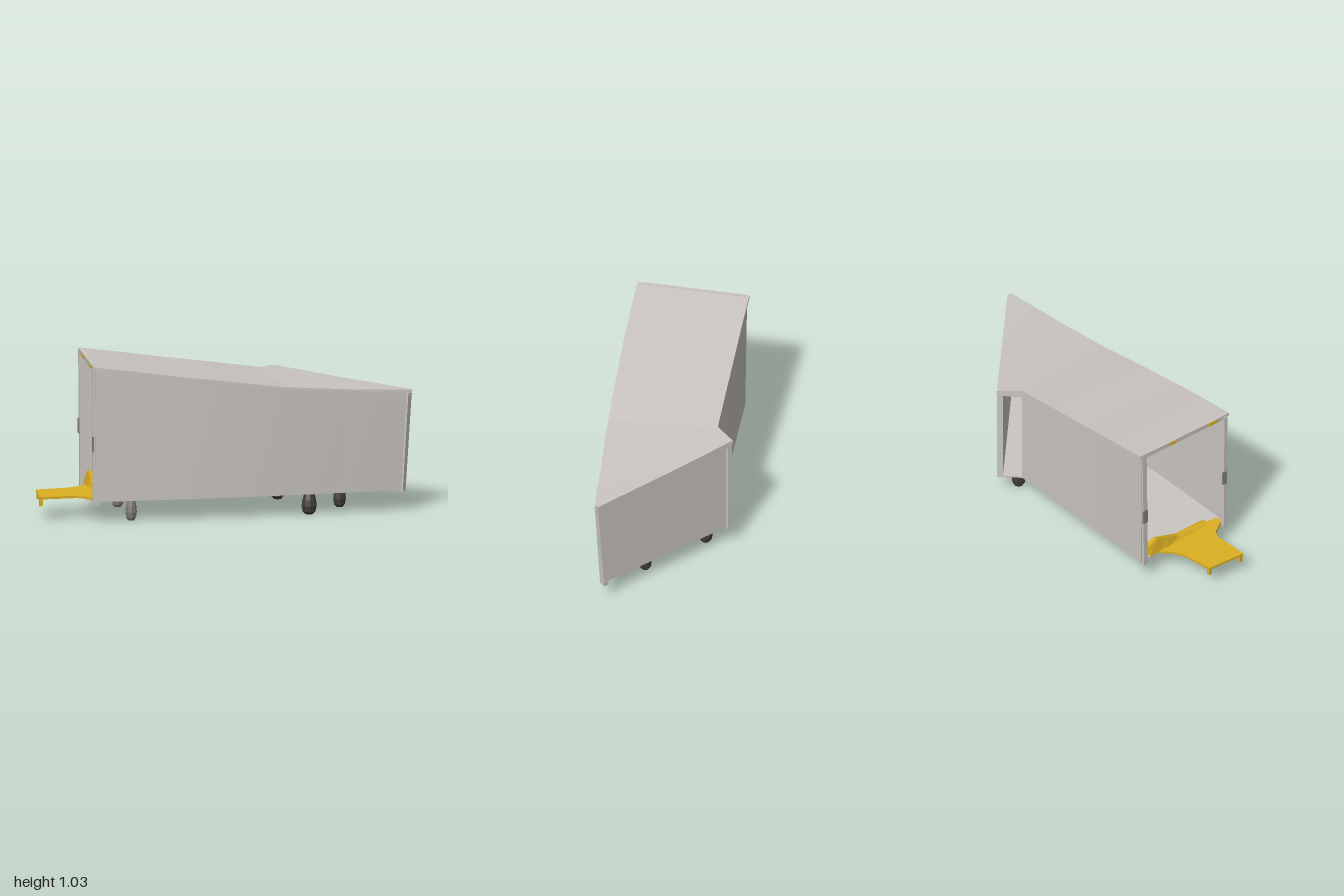
import * as THREE from 'three';

const mat = (name, color) => {
  const m = new THREE.MeshStandardMaterial({ color, side: THREE.DoubleSide });
  m.name = name;
  return m;
};

// Skin a row of closed rings (equal point counts) with flat faces and end caps
function loft(rings) {
  const pos = [];
  const tri = (a, b, c) => pos.push(...a, ...b, ...c);
  const n = rings[0].length;
  for (let i = 0; i < rings.length - 1; i++) {
    for (let j = 0; j < n; j++) {
      const k = (j + 1) % n, p = rings[i], q = rings[i + 1];
      tri(p[j], q[k], q[j]);
      tri(p[j], p[k], q[k]);
    }
  }
  const first = rings[0], last = rings[rings.length - 1];
  for (let j = 1; j < n - 1; j++) {
    tri(first[0], first[j + 1], first[j]);
    tri(last[0], last[j], last[j + 1]);
  }
  const g = new THREE.BufferGeometry();
  g.setAttribute('position', new THREE.Float32BufferAttribute(pos, 3));
  g.computeVertexNormals();
  return g;
}

// Horizontal slab from an x/z outline
function slab(points, y, thickness) {
  const shape = new THREE.Shape(points.map(([x, z]) => new THREE.Vector2(x, -z)));
  const g = new THREE.ExtrudeGeometry(shape, { depth: thickness, bevelEnabled: false });
  return g.rotateX(-Math.PI / 2).translate(0, y, 0);
}

// Roof height falls along the diagonal length of the body
const PROFILE = [[-1.2, 1.035], [-0.9, 1.01], [-0.6, 0.975], [0, 0.92], [0.6, 0.86], [1.2, 0.83], [1.8, 0.81]];
function roofY(x, z) {
  const s = THREE.MathUtils.clamp(x - z, -1.2, 1.8);
  const i = Math.max(1, PROFILE.findIndex(([end]) => s <= end));
  const [s0, h0] = PROFILE[i - 1], [s1, h1] = PROFILE[i];
  return h0 + (h1 - h0) * (s - s0) / (s1 - s0);
}

export function createModel() {
  const model = new THREE.Group();
  const grey = mat('panel grey', 0xcac5c0);
  const shade = mat('latch grey', 0x85817c);
  const yellow = mat('yellow', 0xdcb022);
  const dark = mat('dark wheel', 0x433e3b);
  const wheelGrey = mat('grey wheel', 0x817d75);
  const add = (name, geometry, material) => {
    const m = new THREE.Mesh(geometry, material);
    m.name = name;
    model.add(m);
    return m;
  };

  // Corners: outer top and slightly tucked-in bottom
  const base = 0.14;
  const top = { A: [-0.96, 0.17], B: [-0.475, 0.7], C: [0.98, -0.8], D: [-0.1, -0.8], E: [-0.1, -0.66] };
  const low = { A: [-0.945, 0.17], B: [-0.475, 0.69], C: [0.935, -0.8], D: [-0.1, -0.8], E: [-0.1, -0.66] };
  const mix = (a, b, t, bow) => [0, 1].map((i) => a[i] + (b[i] - a[i]) * t + bow * Math.sin(Math.PI * t));

  // Walls follow the roof slope; the A-B end and the D-E doorway stay open
  const wall = (name, p, q, inX, inZ, steps, bow) => {
    const rings = [];
    for (let i = 0; i <= steps; i++) {
      const [tx, tz] = mix(top[p], top[q], i / steps, bow);
      const [bx, bz] = mix(low[p], low[q], i / steps, bow);
      const y = roofY(tx, tz) - 0.01;
      rings.push([[bx, base, bz], [tx, y, tz], [tx + inX, y, tz + inZ], [bx + inX, base, bz + inZ]]);
    }
    add(name, loft(rings), grey);
  };
  wall('longSideWall', 'B', 'C', -0.012, -0.012, 10, 0.025);
  wall('backWall', 'C', 'D', 0, 0.015, 4, 0);
  wall('innerSideWall', 'E', 'A', 0.012, 0.012, 8, 0);

  // Roof sheet, laid from the inner side to the long side
  const spans = [
    [[-0.975, 0.165], [-0.475, 0.713]],
    [[-0.8, 0.0], [-0.28, 0.53]],
    [[-0.57, -0.22], [-0.09, 0.345]],
    [[-0.34, -0.44], [0.12, 0.13]],
    [[-0.11, -0.66], [0.42, -0.185]],
    [[-0.11, -0.825], [0.7, -0.485]],
    [[0.4, -0.825], [0.85, -0.645]],
    [[0.95, -0.825], [0.995, -0.805]],
  ];
  add('roof', loft(spans.map(([l, r]) => {
    const yl = roofY(...l), yr = roofY(...r);
    return [[l[0], yl, l[1]], [r[0], yr, r[1]], [r[0], yr - 0.022, r[1]], [l[0], yl - 0.022, l[1]]];
  })), grey);
  const floorEdge = [0.8, 0.6, 0.4, 0.2].map((t) => mix(low.C, low.B, 1 - t, 0.02)).reverse();
  add('floor', slab([low.A, low.B, ...floorEdge.reverse(), low.C, low.D, low.E].filter(Boolean), base, 0.012), grey);

  // Upright post: w and d are its plan size, turn its heading
  const post = (name, a, b, w, d, turn) => {
    const c = Math.cos(turn), s = Math.sin(turn);
    add(name, loft([a, b].map(([x, y, z]) => [[-1, -1], [1, -1], [1, 1], [-1, 1]].map(([i, j]) => {
      const u = i * w / 2, v = j * d / 2;
      return [x + u * c + v * s, y, z - u * s + v * c];
    }))), grey);
  };
  // Cross beam: w is measured level and square to its run, h upright
  const beam = (name, a, b, w, h) => {
    const run = Math.hypot(b[0] - a[0], b[2] - a[2]);
    const nx = -(b[2] - a[2]) / run, nz = (b[0] - a[0]) / run;
    add(name, loft([a, b].map(([x, y, z]) => [[-1, -1], [1, -1], [1, 1], [-1, 1]]
      .map(([i, j]) => [x + nx * i * w / 2, y + j * h / 2, z + nz * i * w / 2]))), grey);
  };

  // Frame around the open end
  const q = Math.PI / 4;
  post('openEndPost', [-0.928, 0.12, 0.19], [-0.942, 1.02, 0.182], 0.035, 0.035, -q);
  post('openEndPost', [-0.485, 0.115, 0.675], [-0.488, 1.02, 0.68], 0.025, 0.045, -q);
  beam('openEndHeader', [-0.953, 1.017, 0.18], [-0.485, 1.017, 0.69], 0.02, 0.032);
  for (const [x, z] of [[-0.95, 0.198], [-0.502, 0.688]]) {
    const latch = add('latchPlate', new THREE.BoxGeometry(0.036, 0.1, 0.009), shade);
    latch.position.set(x, 0.52, z);
    latch.rotation.y = -q;
  }
  for (const [t, len] of [[0.35, 0.06], [0.84, 0.08]]) {
    const tab = add('headerTab', new THREE.BoxGeometry(len, 0.02, 0.008), yellow);
    tab.position.set(-0.953 + 0.468 * t - 0.008, 1.018, 0.18 + 0.51 * t + 0.008);
    tab.rotation.y = -q;
  }

  // Shallow ribs under the roof, running from side to side
  for (let i = 1; i <= 7; i++) {
    const [lx, lz] = mix([-0.945, 0.17], [-0.12, -0.63], i / 8, 0);
    const [rx, rz] = mix([-0.49, 0.68], [0.4, -0.21], i / 8, 0);
    beam('roofRib', [lx, roofY(lx, lz) - 0.03, lz], [rx, roofY(rx, rz) - 0.03, rz], 0.025, 0.02);
  }

  // Frame around the back panel and the doorway beside it
  post('backPost', [0.912, 0.13, -0.812], [0.962, 0.8, -0.812], 0.035, 0.024, 0);
  post('backPost', [-0.088, 0.14, -0.812], [-0.088, 0.84, -0.812], 0.03, 0.024, 0);
  beam('backHeader', [-0.1, 0.825, -0.812], [0.98, 0.793, -0.812], 0.024, 0.03);
  beam('doorwayHeader', [-0.103, 0.832, -0.82], [-0.103, 0.825, -0.65], 0.012, 0.03);

  // Loading step with curved-in sides and two short feet
  add('loadingStep', slab([
    [-0.84, 0.24], [-0.842, 0.3], [-0.845, 0.38], [-0.87, 0.45], [-1.0, 0.62], [-0.83, 0.83],
    [-0.72, 0.715], [-0.66, 0.65], [-0.61, 0.637], [-0.5, 0.665], [-0.46, 0.63], [-0.8, 0.2],
  ], 0.14, 0.016), yellow);
  for (const [x, z] of [[-0.98, 0.62], [-0.83, 0.81]]) {
    const foot = add('stepFoot', new THREE.BoxGeometry(0.022, 0.05, 0.022), yellow);
    foot.position.set(x, 0.12, z);
    foot.rotation.y = q;
  }

  // Low heap just inside the opening, tapering along the sill
  add('yellowHeap', loft([[-0.88, 0.215, 0.07], [-0.83, 0.265, 0.1], [-0.77, 0.33, 0.07], [-0.7, 0.4, 0.03], [-0.53, 0.585, 0.015]]
    .map(([x, z, h]) => [[x - 0.015, 0.15, z + 0.015], [x, 0.15 + h, z], [x + 0.025, 0.15 + h * 0.9, z - 0.025], [x + 0.045, 0.15, z - 0.045]])), yellow);

  // Stubby casters: rounded blocks, narrow in both directions
  const casters = [
    [-0.69, 0.13, 1, wheelGrey], [-0.35, 0.47, 0.95, wheelGrey],
    [0.01, -0.69, 1.15, dark], [0.48, -0.37, 1.25, dark], [0.5, -0.69, 1.05, dark],
  ];
  const outline = [[0, 0.005], [0.022, 0.005], [0.034, 0.022], [0.04, 0.06], [0.036, 0.1], [0.026, 0.142], [0, 0.142]]
    .map(([r, y]) => new THREE.Vector2(r, y));
  const casterShape = new THREE.LatheGeometry(outline, 8).toNonIndexed();
  casterShape.computeVertexNormals();
  for (const [x, z, size, material] of casters) {
    const caster = add('caster', casterShape, material);
    caster.position.set(x, -0.005, z);
    caster.scale.set(size, 1, size);
  }
  return model;
}
